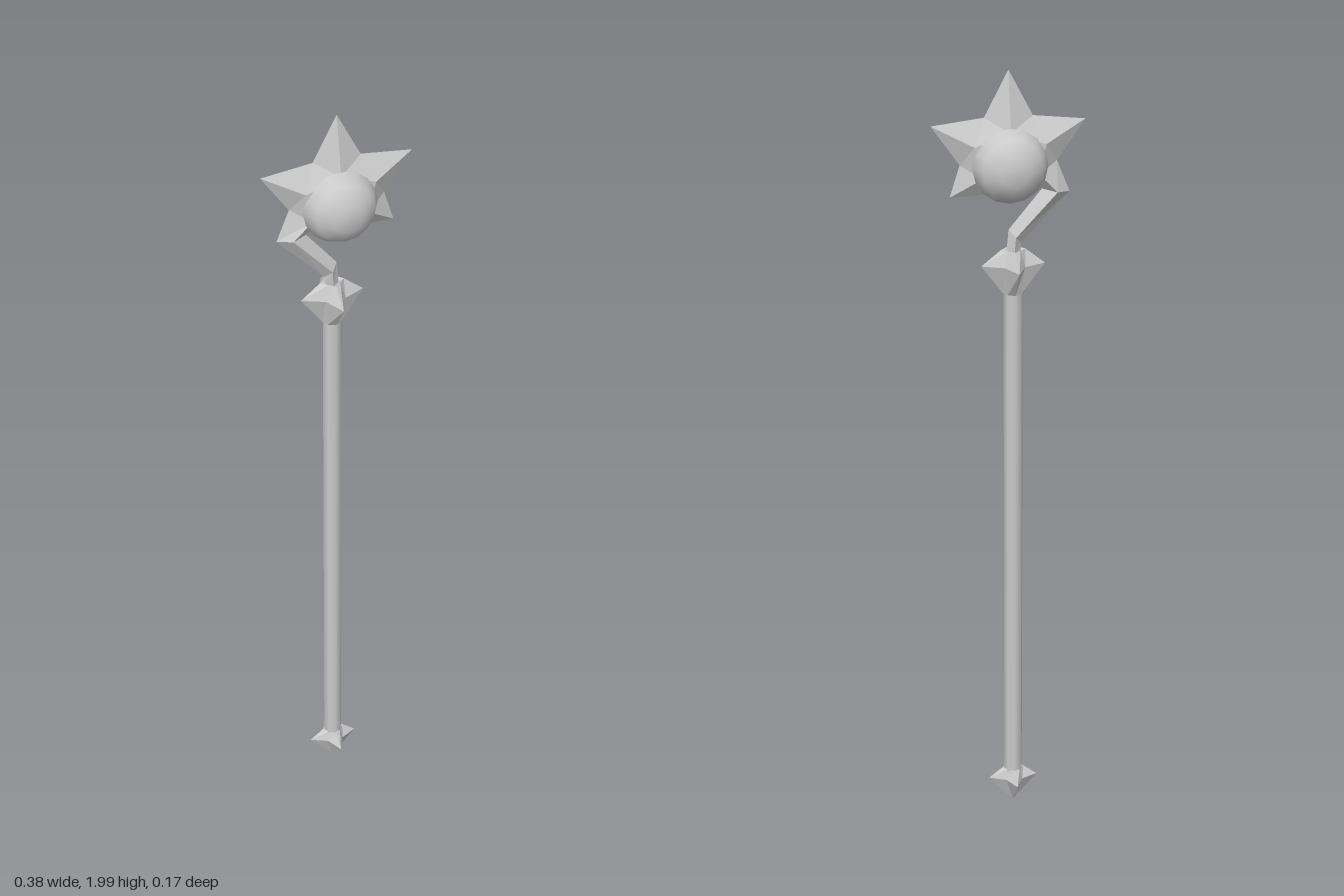
import * as THREE from 'three';

const flat = new THREE.MeshStandardMaterial({ color: 0xcccccc, flatShading: true });
const smooth = new THREE.MeshStandardMaterial({ color: 0xcccccc });
const POLE_X = -0.012;

function add(group, name, geometry, material = flat) {
  const mesh = new THREE.Mesh(geometry, material);
  mesh.name = name;
  group.add(mesh);
  return mesh;
}

function fromTriangles(triangles) {
  const g = new THREE.BufferGeometry();
  g.setAttribute('position', new THREE.Float32BufferAttribute(triangles.flat(2), 3));
  g.computeVertexNormals();
  return g;
}

// Skin over rings stacked from bottom to top, each counterclockwise from above
function loft(rings) {
  const triangles = [];
  for (let r = 0; r < rings.length - 1; r++) {
    const lo = rings[r], hi = rings[r + 1], n = lo.length;
    for (let i = 0; i < n; i++) {
      const j = (i + 1) % n;
      triangles.push([lo[i], lo[j], hi[j]], [lo[i], hi[j], hi[i]]);
    }
  }
  return fromTriangles(triangles);
}

// Four-pointed finial from levels of [y, point radius, valley radius]
function finial(levels) {
  return loft(levels.map(([y, point, valley]) =>
    Array.from({ length: 8 }, (_, i) => {
      const a = i * Math.PI / 4, r = i % 2 ? valley : point;
      return [r * Math.cos(a), y, -r * Math.sin(a)];
    })));
}

// Faceted star: sharp rim at z = 0, ridges running from a raised core to the tips
function star() {
  const tips = [[0, 2], [-0.19, 1.87], [-0.09, 1.73], [0.145, 1.69], [0.19, 1.87]];
  const valleys = [[-0.06, 1.885], [-0.12, 1.77], [0, 1.695], [0.12, 1.77], [0.06, 1.885]];
  const cores = [[0, 1.85], [-0.088, 1.82], [-0.07, 1.74], [0.07, 1.74], [0.088, 1.82]];
  const triangles = [];
  for (const side of [1, -1]) {
    const push = (a, b, c) => triangles.push(side > 0 ? [a, b, c] : [a, c, b]);
    const rim = ([x, y]) => [x, y, 0];
    const raised = ([x, y]) => [x, y, side * 0.03];
    for (let i = 0; i < 5; i++) {
      const j = (i + 1) % 5, h = (i + 4) % 5;
      const tip = rim(tips[i]), valley = rim(valleys[i]), core = raised(cores[i]);
      push(tip, valley, core);
      push(tip, core, rim(valleys[h]));
      push(valley, raised(cores[j]), core);
      push(core, raised(cores[j]), raised([0, 1.78]));
    }
  }
  return fromTriangles(triangles);
}

// Bent arm with a diamond section: [right x, y], [left x, y], half depth
function hook() {
  const sections = [
    [[0.005, 1.54], [-0.03, 1.54], 0.013],
    [[0, 1.60], [-0.032, 1.565], 0.016],
    [[-0.083, 1.70], [-0.152, 1.69], 0.024],
    [[-0.02, 1.72], [-0.12, 1.77], 0.03],
  ];
  return loft(sections.map(([[rx, ry], [lx, ly], d]) => {
    const mx = (rx + lx) / 2, my = (ry + ly) / 2;
    return [[rx, ry, 0], [mx, my, -d], [lx, ly, 0], [mx, my, d]];
  }));
}

export function createModel() {
  const group = new THREE.Group();
  group.name = 'starWand';

  // Shaft
  const shaft = add(group, 'shaft', new THREE.CylinderGeometry(0.024, 0.024, 1.38, 8), smooth);
  shaft.position.set(POLE_X, 0.77, 0);

  // Finials at both ends of the shaft
  const collar = add(group, 'upperFinial', finial([
    [1.437, 0.026, 0.024], [1.51, 0.08, 0.036], [1.55, 0.03, 0.022], [1.535, 0, 0],
  ]));
  const foot = add(group, 'lowerFinial', finial([
    [0.006, 0, 0], [0.077, 0.064, 0.03], [0.105, 0.028, 0.022], [0.1, 0, 0],
  ]));
  collar.position.x = foot.position.x = POLE_X;

  // Star head and the arm that carries it
  add(group, 'star', star());
  add(group, 'hookArm', hook());

  // Orb through the star, its axis along z
  const profile = [[0, -0.084], [0.037, -0.083], [0.075, -0.061], [0.093, -0.028],
    [0.093, 0.028], [0.075, 0.061], [0.037, 0.083], [0, 0.084]];
  const orb = add(group, 'orb',
    new THREE.LatheGeometry(profile.map(([r, z]) => new THREE.Vector2(r, z)), 16), smooth);
  orb.rotation.x = Math.PI / 2;
  orb.position.y = 1.768;

  return group;
}
